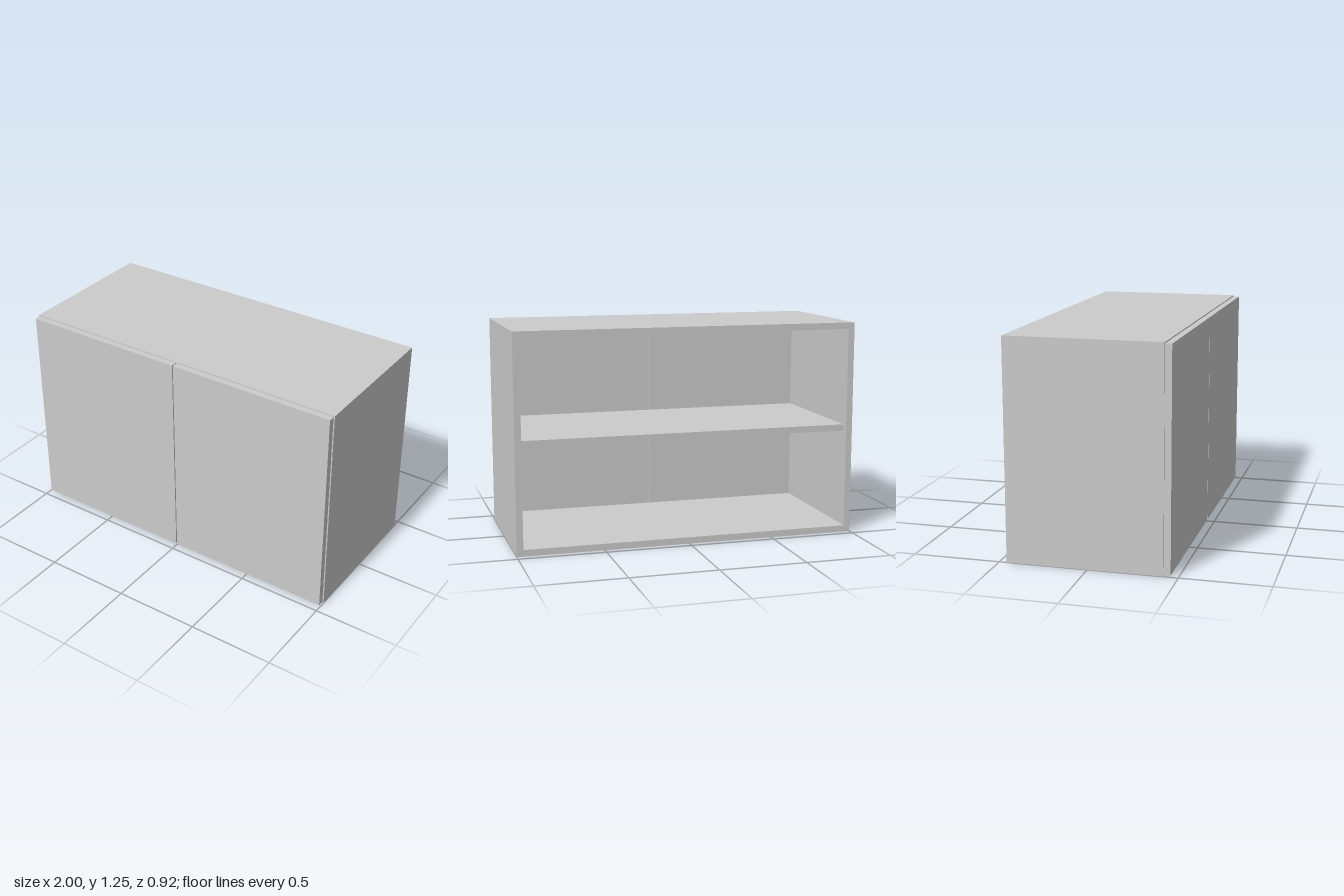
import * as THREE from 'three';

const material = new THREE.MeshStandardMaterial({ color: 0xcccccc, flatShading: true });

// Box given by its minimum and maximum corners
function panel(name, min, max) {
  const size = max.map((v, i) => v - min[i]);
  const mesh = new THREE.Mesh(new THREE.BoxGeometry(...size), material);
  mesh.position.set(...max.map((v, i) => (v + min[i]) / 2));
  mesh.name = name;
  return mesh;
}

export function createModel() {
  const group = new THREE.Group();
  group.name = 'wallCabinet';

  const height = 1.25;
  const thick = 0.0375;
  const back = -0.4575;
  const front = 0.42;
  const inner = 1 - thick;

  // Open-backed carcass
  group.add(
    panel('leftSide', [inner, 0, back], [1, height, front]),
    panel('rightSide', [-1, 0, back], [-inner, height, front]),
    panel('bottomPanel', [-inner, 0, back], [inner, thick, front]),
    panel('topPanel', [-inner, height - thick, back], [inner, height, front])
  );

  // Middle shelf, set in slightly from the back
  const mid = height / 2;
  group.add(panel('shelf', [-inner, mid - thick / 2, back + thick], [inner, mid + thick / 2, front]));

  // Pair of doors with a narrow gap around and between them
  const reveal = 0.007;
  const gap = 0.003;
  group.add(
    panel('leftDoor', [gap, reveal, front], [1 - reveal, height - reveal, front + thick]),
    panel('rightDoor', [-1 + reveal, reveal, front], [-gap, height - reveal, front + thick])
  );

  return group;
}
